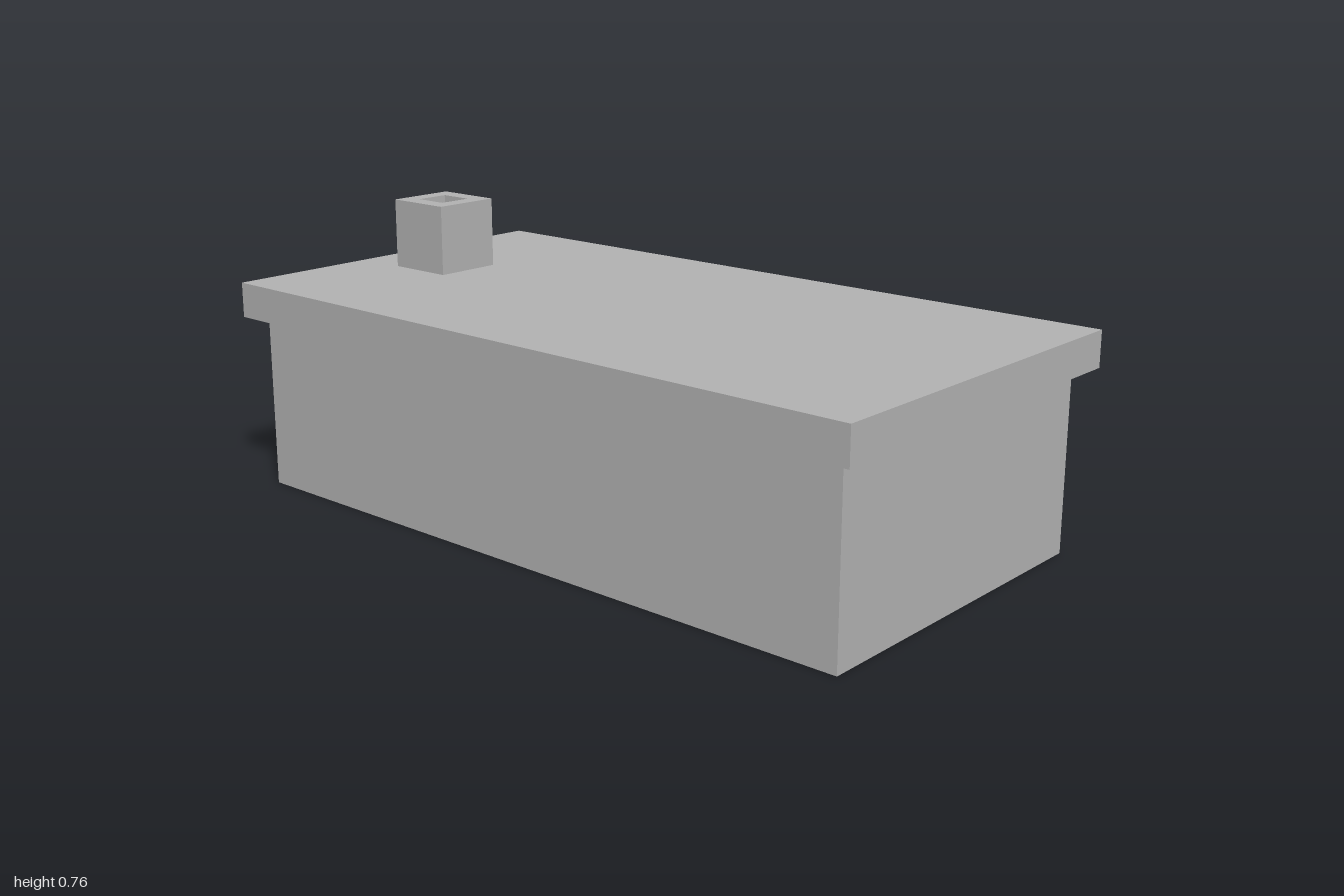
import * as THREE from 'three';

// One module of the building; every size is a whole number of these
const U = 2 / 21;

export function createModel() {
  const model = new THREE.Group();
  model.name = 'flatRoofedBuilding';
  const grey = new THREE.MeshStandardMaterial({ color: 0xb2b2b2 });
  grey.name = 'plain grey';

  const add = (name, geometry, x, y, z) => {
    const mesh = new THREE.Mesh(geometry, grey);
    mesh.name = name;
    mesh.position.set(x, y, z);
    model.add(mesh);
  };

  // Walls and overhanging flat roof
  add('walls', new THREE.BoxGeometry(20 * U, 5 * U, 10 * U), 0, 2.5 * U, 0);
  add('roof', new THREE.BoxGeometry(21 * U, U, 11 * U), 0, 5.5 * U, 0);

  // Square chimney with an open flue down to the roof
  const square = (Kind, h) => new Kind([[-h, -h], [h, -h], [h, h], [-h, h]]
    .map(([x, y]) => new THREE.Vector2(x, y)));
  const outline = square(THREE.Shape, U);
  outline.holes.push(square(THREE.Path, U / 2));
  const chimney = new THREE.ExtrudeGeometry(outline, { depth: 2 * U, bevelEnabled: false });
  chimney.rotateX(-Math.PI / 2);
  add('chimney', chimney, -8 * U, 6 * U, 0);

  return model;
}
